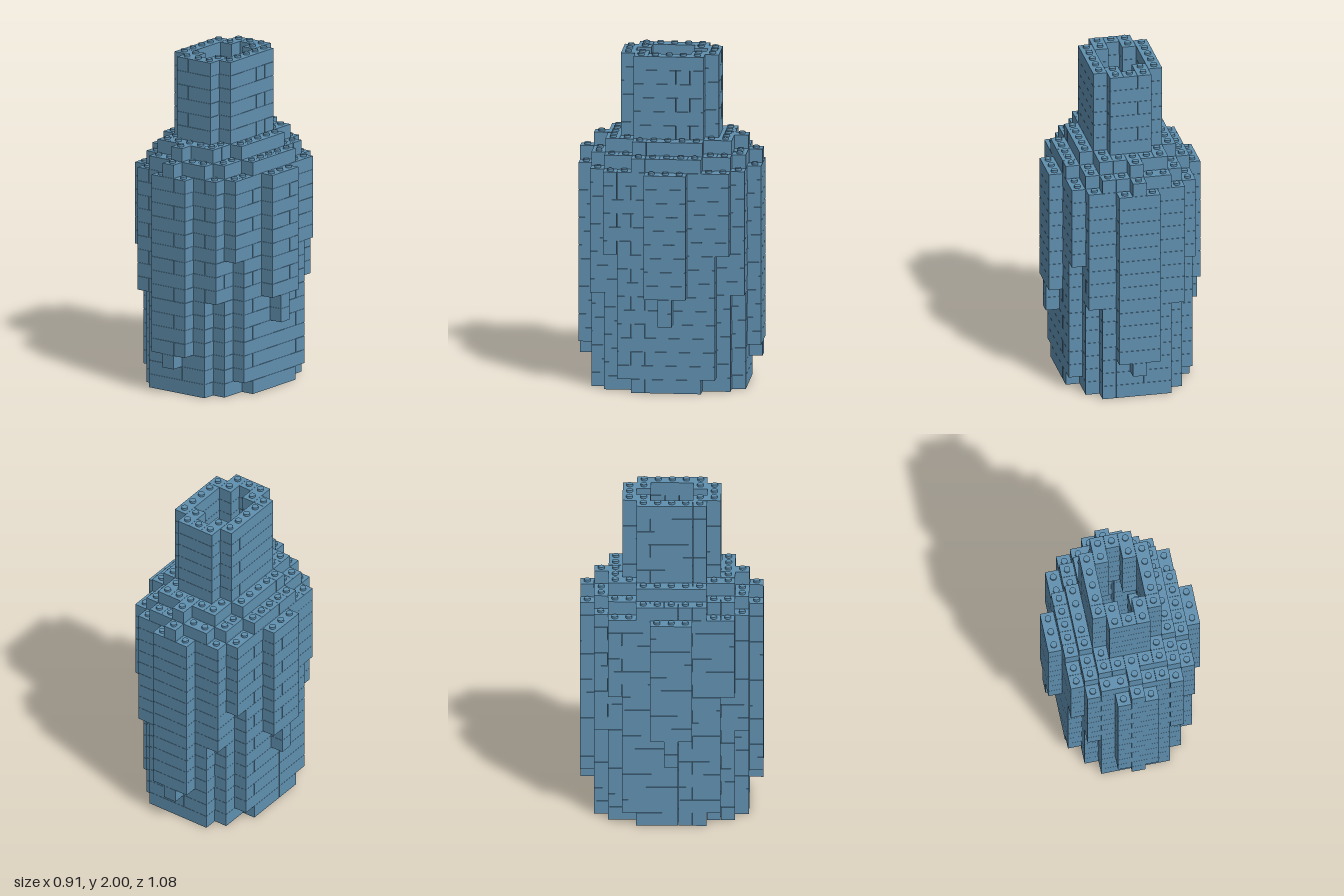
import * as THREE from 'three';
import { mergeGeometries } from 'three/addons/utils/BufferGeometryUtils.js';

const P = 0.0828;      // brick pitch, horizontal and vertical
const GAP = 0.0014;    // seam between bricks
const STUD_R = 0.019, STUD_H = 0.0128;

// Each band: number of courses, then the half width (in studs) of rows 0, 1, 2... away from the middle
const BANDS = [
  [1, [4, 4, 4, 3, 3, 2]],
  [1, [4, 4, 4, 4, 3, 2]],
  [1, [4, 4, 4, 4, 3, 2, 0]],
  [2, [4, 4, 4, 4, 3, 2, 1]],
  [2, [5, 4, 4, 4, 3, 2, 1]],
  [3, [5, 5, 4, 4, 3, 3, 1]],
  [6, [5, 5, 4, 4, 4, 3, 1]],
  [1, [4, 4, 4, 3, 3, 2, 0]],
  [1, [3, 3, 3, 2, 2, 0]],
  [6, [2, 2, 2, 1]],
];
const COURSES = BANDS.flatMap(([n, rows]) => Array(n).fill(rows));
const TOP = COURSES.length;

// Is the cell inside the outer outline of its course?
function inside(x, y, z) {
  const rows = COURSES[y];
  return !!rows && Math.abs(z) < rows.length && Math.abs(x) <= rows[Math.abs(z)];
}

// The vessel is hollow: a cell is empty when all its neighbours are inside (the mouth is open)
function hollow(x, y, z) {
  for (let dy = -1; dy <= 1; dy++) {
    const yy = Math.min(y + dy, TOP - 1);
    for (let dx = -1; dx <= 1; dx++)
      for (let dz = -1; dz <= 1; dz++)
        if (!inside(x + dx, yy, z + dz)) return false;
  }
  return true;
}
const solid = (x, y, z) => inside(x, y, z) && !hollow(x, y, z);

// One course of bricks, laid along x and z in turn
function courseGeometry(y) {
  const parts = [];
  const alongX = y % 2 === 0;
  const cell = (u, v) => (alongX ? [u, y, v] : [v, y, u]);
  for (let v = -6; v <= 6; v++) {
    let start = null;
    for (let u = -7; u <= 7; u++) {
      const filled = solid(...cell(u, v));
      if (start !== null && (!filled || u - start >= 4)) {
        const len = (u - start) * P - GAP, mid = ((start + u - 1) / 2) * P;
        const w = P - GAP;
        const g = new THREE.BoxGeometry(alongX ? len : w, w, alongX ? w : len);
        g.translate(alongX ? mid : v * P, (y + 0.5) * P, alongX ? v * P : mid);
        parts.push(g);
        start = null;
      }
      if (filled && start === null) start = u;
    }
  }
  return mergeGeometries(parts);
}

// Studs on every brick cell that has nothing on top
function studGeometry(y) {
  const parts = [];
  for (let x = -5; x <= 5; x++)
    for (let z = -6; z <= 6; z++)
      if (solid(x, y, z) && !solid(x, y + 1, z)) {
        const g = new THREE.CylinderGeometry(STUD_R, STUD_R, STUD_H + GAP, 16);
        g.translate(x * P, (y + 1) * P + (STUD_H - GAP) / 2, z * P);
        parts.push(g);
      }
  return parts.length ? mergeGeometries(parts) : null;
}

export function createModel() {
  const model = new THREE.Group();
  model.name = 'brickBottle';
  const material = new THREE.MeshStandardMaterial({ color: 0x6090b0 });
  material.name = 'sandBlue';

  const sections = { base: 2, body: 16, shoulder: 18, neck: TOP };
  let y = 0;
  for (const [name, end] of Object.entries(sections)) {
    const group = new THREE.Group();
    group.name = name;
    for (; y < end; y++) {
      const bricks = new THREE.Mesh(courseGeometry(y), material);
      bricks.name = name + 'Bricks';
      group.add(bricks);
      const studs = studGeometry(y);
      if (studs) {
        const mesh = new THREE.Mesh(studs, material);
        mesh.name = name + 'Studs';
        group.add(mesh);
      }
    }
    model.add(group);
  }
  return model;
}
